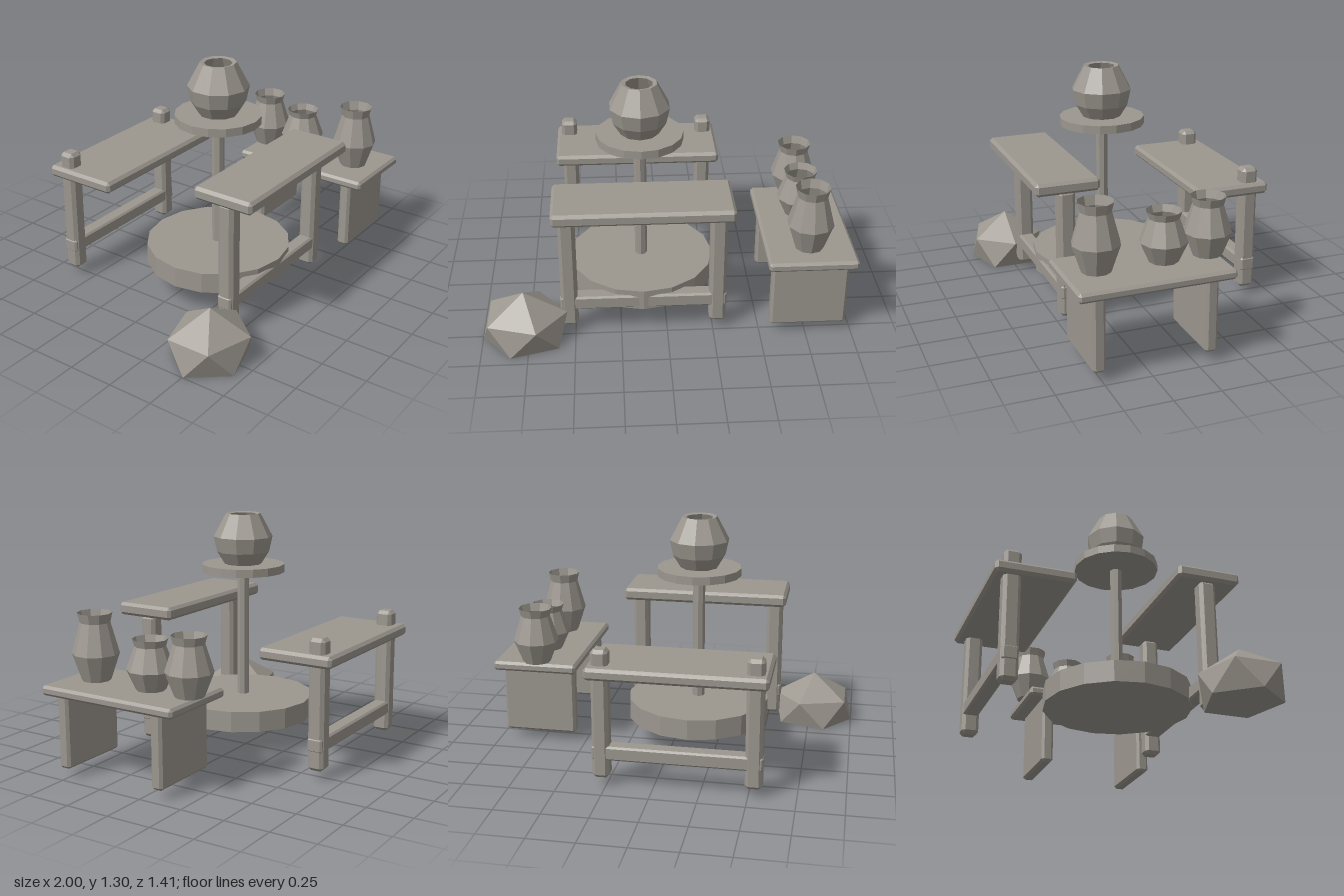
import * as THREE from 'three';
import { ConvexGeometry } from 'three/addons/geometries/ConvexGeometry.js';

const clay = new THREE.MeshStandardMaterial({ color: 0x9c978f, flatShading: true });
clay.name = 'greyClay';
const clayOpen = clay.clone();
clayOpen.name = 'greyClay';
clayOpen.side = THREE.DoubleSide;

export function createModel() {
  const model = new THREE.Group();
  model.name = 'potteryWorkshop';

  const add = (name, geometry, x = 0, y = 0, z = 0, material = clay) => {
    const mesh = new THREE.Mesh(geometry, material);
    mesh.name = name;
    mesh.position.set(x, y, z);
    model.add(mesh);
    return mesh;
  };

  // Box with a single chamfer on every edge, given by its limits
  const plank = (name, [x0, x1], [y0, y1], [z0, z1], bevel = 0.014) => {
    const half = [(x1 - x0) / 2, (y1 - y0) / 2, (z1 - z0) / 2];
    const points = [];
    for (const sx of [-1, 1]) for (const sy of [-1, 1]) for (const sz of [-1, 1]) {
      for (let axis = 0; axis < 3; axis++) {
        const p = half.map((h, i) => (i === axis ? h : h - bevel));
        points.push(new THREE.Vector3(sx * p[0], sy * p[1], sz * p[2]));
      }
    }
    add(name, new ConvexGeometry(points), (x0 + x1) / 2, (y0 + y1) / 2, (z0 + z1) / 2);
  };

  // Frame halves: tabletop in front, seat behind, each on two legs and a stretcher
  plank('tabletop', [-0.6, 0.345], [0.75, 0.82], [0.275, 0.625], 0.016);
  plank('seat', [-0.6, 0.345], [0.61, 0.675], [-0.71, -0.285], 0.016);
  for (const [side, z] of [['front', 0.45], ['back', -0.613]]) {
    for (const x of [-0.528, 0.274]) {
      plank(side + 'Leg', [x - 0.045, x + 0.045], [0.05, 0.757], [z - 0.046, z + 0.046], 0.018);
    }
    plank(side + 'Stretcher', [-0.577, 0.323], [0.152, 0.23], [z - 0.042, z + 0.042], 0.01);
  }

  // Kick wheel, shaft and wheel head
  const wheelX = -0.127, wheelZ = 0.097;
  add('flywheel', new THREE.CylinderGeometry(0.4, 0.4, 0.115, 16), wheelX, 0.203, wheelZ);
  add('shaft', new THREE.CylinderGeometry(0.034, 0.034, 0.8, 8), wheelX, 0.58, wheelZ);
  add('wheelHead', new THREE.CylinderGeometry(0.235, 0.235, 0.045, 16), wheelX, 0.998, wheelZ);

  // Hollow vessels
  const lathe = (profile) => new THREE.LatheGeometry(profile.map(([r, y]) => new THREE.Vector2(r, y)), 10);
  add('pot', lathe([
    [0, 0], [0.105, 0], [0.148, 0.07], [0.166, 0.155], [0.097, 0.285],
    [0.074, 0.28], [0.13, 0.155], [0.08, 0.03], [0, 0.03],
  ]), wheelX, 1.02, wheelZ, clayOpen);

  for (const [z, h] of [[0.453, 0.36], [0.097, 0.265], [-0.142, 0.312]]) {
    add('jar', lathe([
      [0, 0], [0.077, 0], [0.125, 0.4 * h], [0.08, 0.86 * h], [0.092, h],
    ]), 0.757, 0.494, z, clayOpen);
  }

  // Side shelf on two panels
  plank('shelfTop', [0.525, 1], [0.44, 0.493], [-0.2, 0.625]);
  for (const z of [0.513, -0.08]) {
    plank('shelfPanel', [0.555, 0.968], [0.05, 0.455], [z - 0.034, z + 0.034]);
  }

  // Flat-bottomed lump of clay: apex over two staggered five-sided rings
  const lump = [new THREE.Vector3(0, 0.285, 0)];
  for (let i = 0; i < 5; i++) {
    const a = (i * 2 * Math.PI) / 5;
    lump.push(new THREE.Vector3(0.232 * Math.cos(a), 0.153, 0.21 * Math.sin(a)));
    lump.push(new THREE.Vector3(-0.228 * Math.cos(a), 0, 0.205 * Math.sin(a)));
  }
  add('clayLump', new ConvexGeometry(lump), -0.772, 0, 0.505);

  return model;
}
